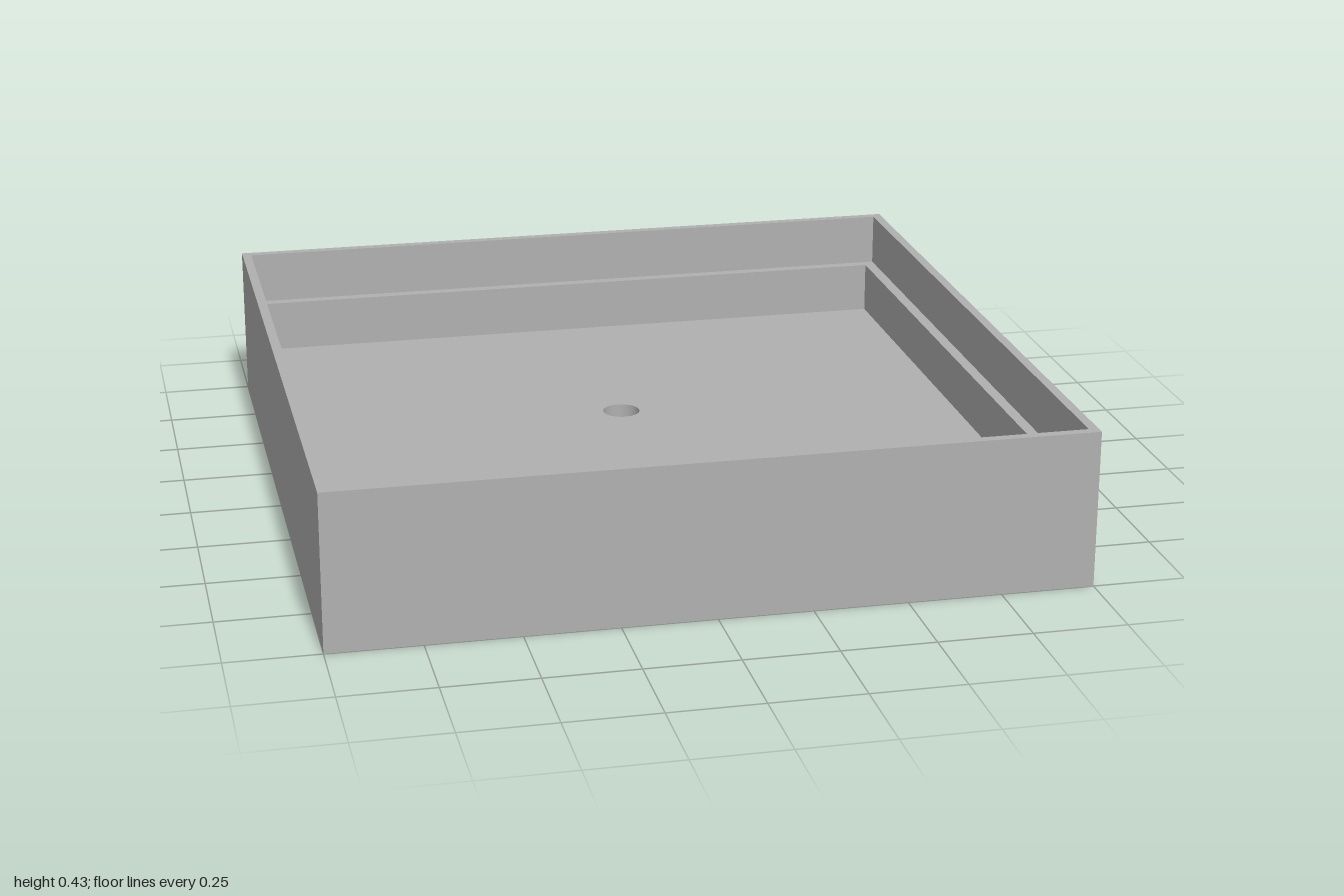
import * as THREE from 'three';

const HEIGHT = 0.427, LEDGE_Y = 0.28, FLOOR_Y = 0.135, BLIND_Y = 0.09;
const OUTER = 1, UPPER = 0.974, LOWER = 0.943; // half widths
const HOLE_R = 0.052, SCREW_R = 0.021, SCREW_X = 0.3;
const HOLE_Z = [-0.19, 0.77];

export function createModel() {
  const model = new THREE.Group();
  model.name = 'tray';
  const grey = new THREE.MeshStandardMaterial({ color: 0xb0b0b0, side: THREE.DoubleSide });
  grey.name = 'grey';

  const add = (name, geometry) => {
    const mesh = new THREE.Mesh(geometry, grey);
    mesh.name = name;
    model.add(mesh);
    return mesh;
  };

  const square = (s, PathType) => new PathType([[-s, -s], [s, -s], [s, s], [-s, s]]
    .map(([x, y]) => new THREE.Vector2(x, y)));

  // Horizontal square face with an optional square opening and round holes [x, z, r]
  const face = (name, half, y, { opening = 0, holes = [], up = true } = {}) => {
    const shape = square(half, THREE.Shape);
    if (opening) shape.holes.push(square(opening, THREE.Path));
    for (const [x, z, r] of holes) {
      shape.holes.push(new THREE.Path().absarc(x, up ? -z : z, r, 0, Math.PI * 2, true));
    }
    const geometry = new THREE.ShapeGeometry(shape, 32);
    geometry.rotateX(up ? -Math.PI / 2 : Math.PI / 2).translate(0, y, 0);
    add(name, geometry);
  };

  // Four flat walls around a square
  const walls = (name, half, y0, y1) => {
    const r = half * Math.SQRT2;
    const geometry = new THREE.CylinderGeometry(r, r, y1 - y0, 4, 1, true).toNonIndexed();
    geometry.rotateY(Math.PI / 4).translate(0, (y0 + y1) / 2, 0);
    geometry.computeVertexNormals();
    add(name, geometry);
  };

  // Round bore through part of the base
  const bore = (name, [x, z, r], y1) => {
    const geometry = new THREE.CylinderGeometry(r, r, y1, 32, 1, true);
    add(name, geometry).position.set(x, y1 / 2, z);
  };

  const drains = HOLE_Z.map((z) => [0, z, HOLE_R]);
  const screws = HOLE_Z.flatMap((z) => [-SCREW_X, SCREW_X].map((x) => [x, z, SCREW_R]));

  // Stepped shell
  walls('outerWalls', OUTER, 0, HEIGHT);
  face('rim', OUTER, HEIGHT, { opening: UPPER });
  walls('upperInnerWalls', UPPER, LEDGE_Y, HEIGHT);
  face('ledge', UPPER, LEDGE_Y, { opening: LOWER });
  walls('lowerInnerWalls', LOWER, FLOOR_Y, LEDGE_Y);

  // Pierced floor and underside
  face('floor', LOWER, FLOOR_Y, { holes: drains });
  face('underside', OUTER, 0, { holes: [...drains, ...screws], up: false });

  // Through holes and blind screw holes
  for (const hole of drains) bore('throughHole', hole, FLOOR_Y);
  for (const hole of screws) {
    bore('screwHole', hole, BLIND_Y);
    const end = new THREE.CircleGeometry(SCREW_R, 32).rotateX(Math.PI / 2);
    add('screwHoleEnd', end).position.set(hole[0], BLIND_Y, hole[1]);
  }
  return model;
}
